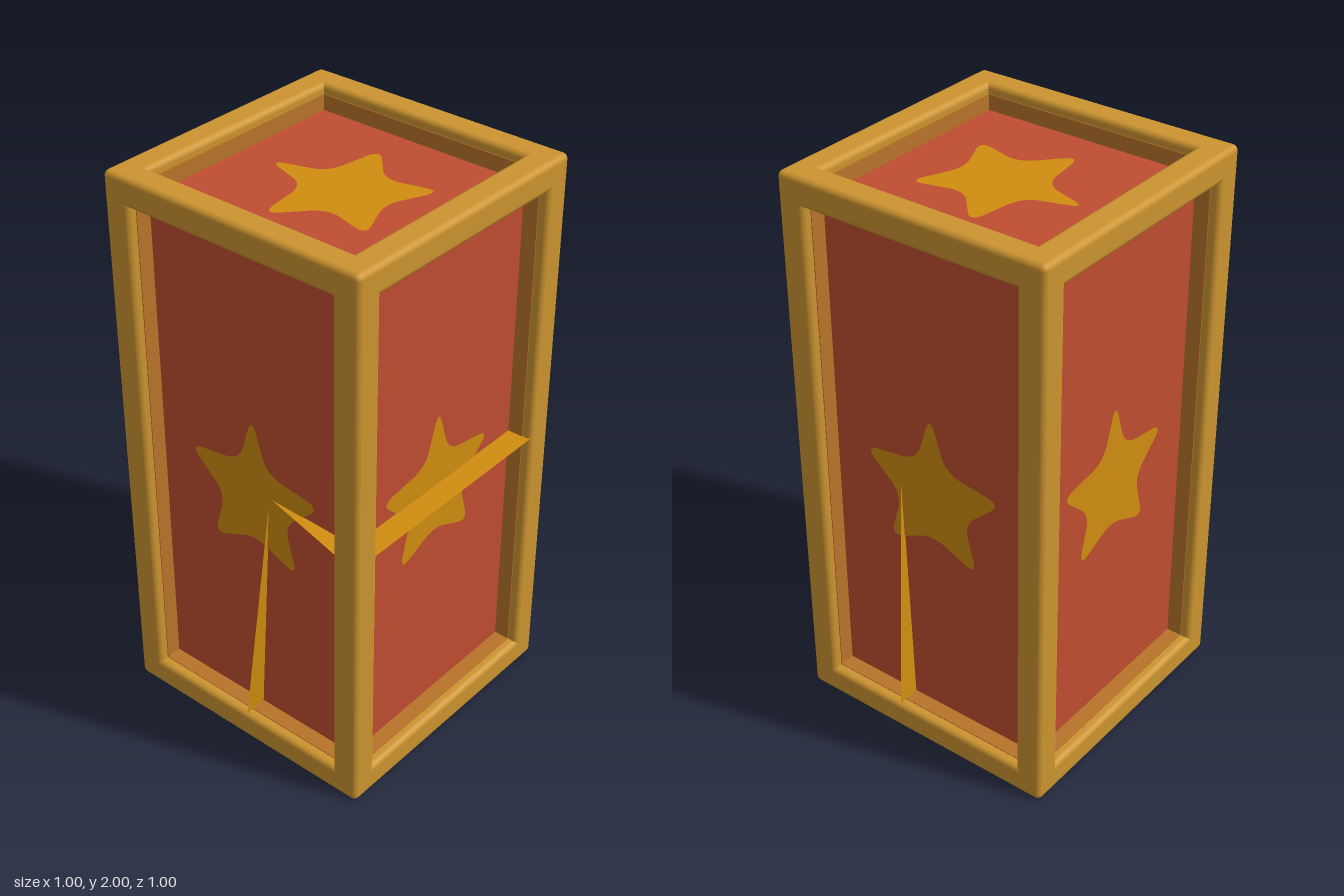
import * as THREE from 'three';
import { RoundedBoxGeometry } from 'three/addons/geometries/RoundedBoxGeometry.js';

const W = 1, H = 2, BAR = 0.1, DEPTH = 0.09;

// Star outline with rounded tips, centred on the origin and pointing up
function starShape() {
  const half = [[0, 0.28], [0.06, 0.09], [0.28, 0.06], [0.13, -0.075], [0.18, -0.26], [0, -0.18]];
  const mirrored = half.slice(1, 5).reverse().map(([x, y]) => [-x, y]);
  const pts = [...half, ...mirrored].reverse().map(([x, y]) => new THREE.Vector2(x, y));
  const shape = new THREE.Shape();
  const n = pts.length;
  for (let i = 0; i < n; i++) {
    const p = pts[i];
    const a = p.clone().lerp(pts[(i + n - 1) % n], 0.3);
    const b = p.clone().lerp(pts[(i + 1) % n], 0.3);
    if (i === 0) shape.moveTo(a.x, a.y);
    else shape.lineTo(a.x, a.y);
    shape.quadraticCurveTo(p.x, p.y, b.x, b.y);
  }
  shape.closePath();
  return shape;
}

function rectangle(Type, w, h) {
  const s = new Type();
  s.moveTo(-w / 2, -h / 2);
  s.lineTo(w / 2, -h / 2);
  s.lineTo(w / 2, h / 2);
  s.lineTo(-w / 2, h / 2);
  s.closePath();
  return s;
}

export function createModel() {
  const model = new THREE.Group();
  model.name = 'starCrate';

  const material = (name, color, side = THREE.FrontSide) => {
    const m = new THREE.MeshStandardMaterial({ color, side });
    m.name = name;
    return m;
  };
  const frameGold = material('frameGold', 0xcc9430);
  const panelRed = material('panelRed', 0xbf4d30);
  const starGold = material('starGold', 0xd08e10, THREE.DoubleSide);
  const wallOrange = material('wallOrange', 0xb8742a);

  const add = (parent, name, geometry, mat) => {
    const mesh = new THREE.Mesh(geometry, mat);
    mesh.name = name;
    parent.add(mesh);
    return mesh;
  };

  // Frame: twelve rounded bars along the edges
  const frame = new THREE.Group();
  frame.name = 'frame';
  model.add(frame);
  const size = [W, H, W];
  for (let axis = 0; axis < 3; axis++) {
    const dims = [BAR, BAR, BAR];
    dims[axis] = size[axis];
    const bar = new RoundedBoxGeometry(...dims, 3, 0.02);
    const [u, v] = [0, 1, 2].filter((k) => k !== axis);
    for (const su of [-1, 1]) {
      for (const sv of [-1, 1]) {
        const pos = [0, H / 2, 0];
        pos[u] += su * (size[u] - BAR) / 2;
        pos[v] += sv * (size[v] - BAR) / 2;
        add(frame, 'frameBar', bar, frameGold).position.set(...pos);
      }
    }
  }

  // Recessed panels
  const core = new THREE.BoxGeometry(W - 2 * DEPTH, H - 2 * DEPTH, W - 2 * DEPTH);
  add(model, 'recessedPanels', core, panelRed).position.y = H / 2;

  // A star and a recess lining on each of the six sides
  const star = new THREE.ShapeGeometry(starShape(), 8);
  const sides = [
    ['front', [0, 0, 1], [0, 1, 0]],
    ['back', [0, 0, -1], [0, 1, 0]],
    ['right', [-1, 0, 0], [0, 1, 0]],
    ['left', [1, 0, 0], [0, 1, 0]],
    ['top', [0, 1, 0], [-1, 0, 0]],
    ['bottom', [0, -1, 0], [1, 0, 0]],
  ];
  for (const [name, n, u] of sides) {
    const normal = new THREE.Vector3(...n), up = new THREE.Vector3(...u);
    const side = new THREE.Group();
    side.name = name + 'Side';
    const basis = new THREE.Matrix4().makeBasis(up.clone().cross(normal), up, normal);
    side.quaternion.setFromRotationMatrix(basis);
    const reach = n[1] ? H / 2 : W / 2;
    side.position.set(0, H / 2, 0).addScaledVector(normal, reach - DEPTH);
    model.add(side);

    add(side, name + 'Star', star, starGold).position.z = 0.003;

    const w = W - 2 * BAR, h = (n[1] ? W : H) - 2 * BAR;
    const ring = rectangle(THREE.Shape, w + 0.01, h + 0.01);
    ring.holes.push(rectangle(THREE.Path, w - 0.006, h - 0.006));
    const lining = new THREE.ExtrudeGeometry(ring, { depth: 0.055, bevelEnabled: false });
    add(side, name + 'RecessLining', lining, wallOrange);
  }

  // Thin fracture sheets standing out of the panels
  const sheet = (name, ...corners) => {
    const g = new THREE.BufferGeometry();
    g.setFromPoints(corners.map((c) => new THREE.Vector3(...c)));
    g.setIndex(corners.length === 4 ? [0, 1, 2, 0, 2, 3] : [0, 1, 2]);
    g.computeVertexNormals();
    add(model, name, g, starGold);
  };
  sheet('frontLowerFracture', [0.065, 1, 0.41], [0.01, 0.08, 0.41], [0.01, 0.08, 0.495]);
  sheet('frontSideFracture', [0.065, 1, 0.41], [0.41, 0.985, 0.41], [0.41, 0.985, 0.485]);
  sheet('backLowerFracture', [0.13, 1, -0.41], [0.1, 0.08, -0.41], [0.1, 0.08, -0.495]);
  sheet('sideFracture', [0.41, 0.985, 0.41], [0.495, 0.985, 0.41], [0.495, 0.99, -0.41], [0.41, 0.99, -0.41]);
  sheet('bottomFracture', [0.015, 0.09, 0.41], [0.015, 0.005, 0.41], [0.09, 0.005, -0.41], [0.09, 0.09, -0.41]);

  return model;
}
